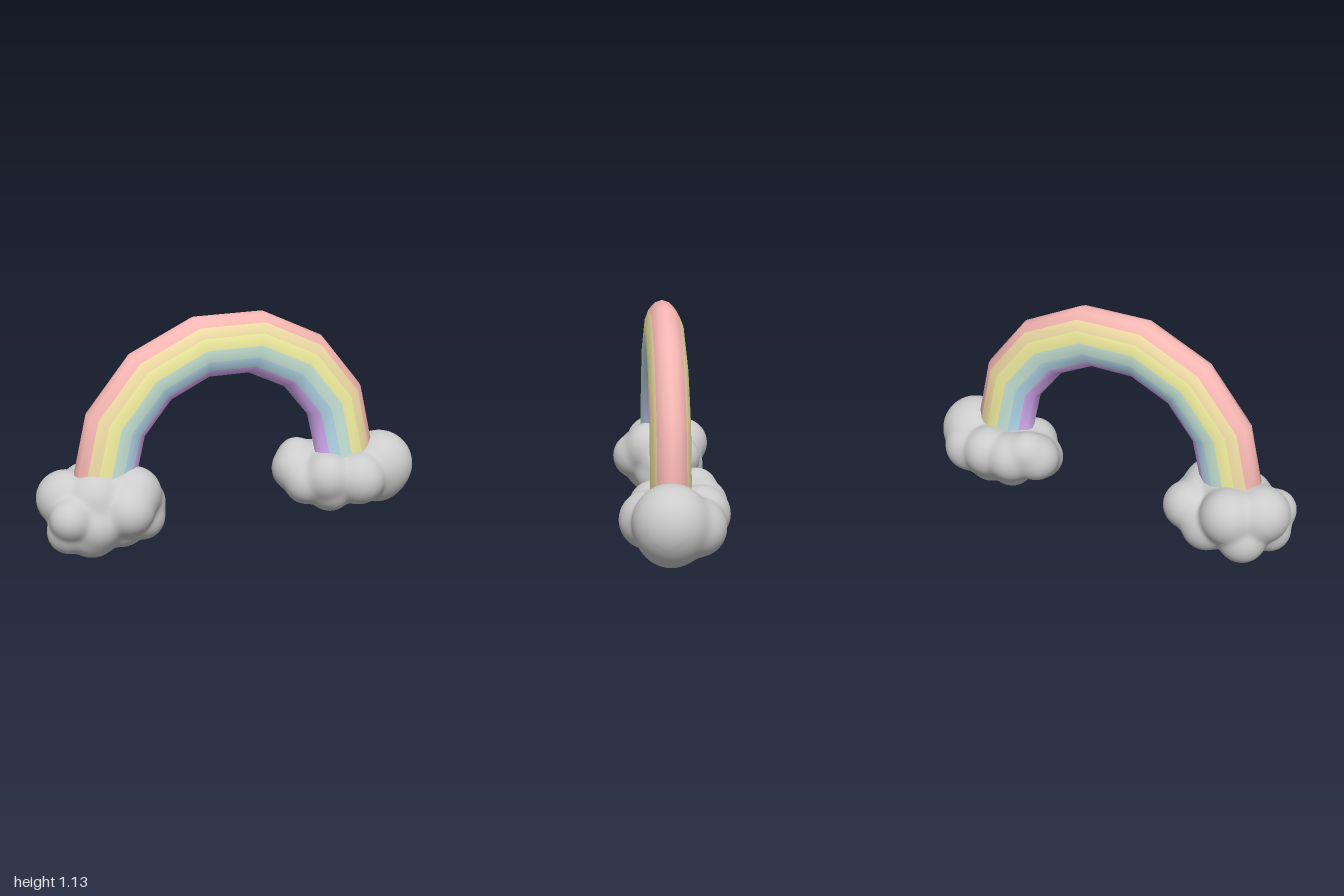
import * as THREE from 'three';
import { mergeVertices } from 'three/addons/utils/BufferGeometryUtils.js';

// Arch: half of a 14-sided ring with a 16-sided oval section
const CX = -0.032, CY = 0.364, CZ = 0.01;
const RING = 0.63, WIDEN = 1.03, OVAL_R = 0.157, OVAL_Z = 0.095;
const STEP = Math.PI / 8;

// Colour bands, from the outside of the arch inwards, in section steps
const BANDS = [
  ['redBand', 0xf8b8b4, 0, 2],
  ['orangeBand', 0xf4e0a8, 2, 3],
  ['yellowBand', 0xf8f4a4, 3, 4],
  ['greenBand', 0xcdeadb, 4, 5],
  ['blueBand', 0xb8dcf0, 5, 6],
  ['violetBand', 0xdcb0f8, 6, 8],
];

// Stations along the arch: the ring plus a short straight foot at each end
const stations = [{ a: 0, drop: 0.1 }];
for (let i = 0; i <= 7; i++) stations.push({ a: (i * Math.PI) / 7, drop: 0 });
stations.push({ a: Math.PI, drop: 0.1 });

// A band is one or two smooth strips running along the whole arch
function bandGeometry(ranges) {
  const pos = [], normal = [], index = [];
  for (const [from, to] of ranges) {
    const base = pos.length / 3, row = to - from + 1;
    stations.forEach(({ a, drop }, s) => {
      for (let k = from; k <= to; k++) {
        const c = Math.cos(k * STEP), d = Math.sin(k * STEP);
        const r = RING + OVAL_R * c;
        pos.push(CX + WIDEN * r * Math.cos(a), CY + r * Math.sin(a) - drop, CZ + OVAL_Z * d);
        const n = new THREE.Vector3(c * Math.cos(a) / OVAL_R, c * Math.sin(a) / OVAL_R, d / OVAL_Z);
        normal.push(...n.normalize().toArray());
        if (s === 0 || k === to) continue;
        const q = base + (s - 1) * row + k - from;
        index.push(q, q + row, q + 1, q + 1, q + row, q + row + 1);
      }
    });
  }
  const geo = new THREE.BufferGeometry();
  geo.setAttribute('position', new THREE.Float32BufferAttribute(pos, 3));
  geo.setAttribute('normal', new THREE.Float32BufferAttribute(normal, 3));
  geo.setIndex(index);
  return geo;
}

// Cloud puffs: x, y, z, radius
const RIGHT_CLOUD = [
  [-0.70, 0.22, 0.0, 0.18],
  [-0.865, 0.285, -0.04, 0.138],
  [-0.73, 0.28, -0.13, 0.136],
  [-0.74, 0.29, 0.04, 0.14],
  [-0.64, 0.30, 0.02, 0.125],
  [-0.55, 0.295, 0.06, 0.135],
  [-0.60, 0.24, 0.135, 0.123],
  [-0.495, 0.25, -0.09, 0.118],
  [-0.485, 0.23, 0.01, 0.108],
  [-0.495, 0.155, 0.03, 0.108],
  [-0.88, 0.23, 0.11, 0.10],
  [-0.875, 0.145, 0.05, 0.105],
  [-0.76, 0.13, 0.05, 0.127],
  [-0.75, 0.18, 0.10, 0.115],
  [-0.61, 0.15, 0.06, 0.112],
  [-0.61, 0.18, -0.11, 0.123],
  [-0.80, 0.165, -0.11, 0.118],
];
const LEFT_CLOUD = [
  [0.825, 0.256, 0.02, 0.174],
  [0.81, 0.20, 0.02, 0.147],
  [0.65, 0.22, 0.0, 0.15],
  [0.52, 0.24, 0.0, 0.135],
  [0.655, 0.225, 0.115, 0.134],
  [0.49, 0.245, 0.08, 0.12],
  [0.52, 0.165, 0.055, 0.113],
  [0.38, 0.255, -0.08, 0.118],
  [0.41, 0.305, -0.12, 0.098],
  [0.50, 0.25, -0.135, 0.125],
  [0.64, 0.245, -0.13, 0.13],
  [0.78, 0.22, -0.10, 0.13],
  [0.66, 0.165, -0.08, 0.118],
  [0.53, 0.165, -0.08, 0.11],
  [0.405, 0.205, 0.01, 0.113],
];

// Distance to the puffs, softly blended where they meet
const BLEND = 0.012;
function puffDistance(p, puffs) {
  let sum = 0;
  for (const [x, y, z, r] of puffs) {
    sum += Math.exp((r - Math.hypot(p.x - x, p.y - y, p.z - z)) / BLEND);
  }
  return -BLEND * Math.log(sum + 1e-30);
}

// One skin per cloud: a ball shrunk onto the puffs towards the centre
function cloud(name, centre, puffs, material) {
  const ball = new THREE.IcosahedronGeometry(1, 32);
  ball.deleteAttribute('normal');
  ball.deleteAttribute('uv');
  const geo = mergeVertices(ball);
  const pos = geo.attributes.position;
  const dir = new THREE.Vector3(), p = new THREE.Vector3();
  for (let i = 0; i < pos.count; i++) {
    dir.fromBufferAttribute(pos, i).multiply(new THREE.Vector3(0.36, 0.22, 0.26)).normalize();
    let t = 0.6;
    for (let n = 0; n < 60; n++) {
      const d = puffDistance(p.copy(centre).addScaledVector(dir, t), puffs);
      if (d < 0.0005) break;
      t -= d * 0.9;
    }
    pos.setXYZ(i, p.x, p.y, p.z);
  }
  geo.computeVertexNormals();
  const mesh = new THREE.Mesh(geo, material);
  mesh.name = name;
  return mesh;
}

export function createModel() {
  const model = new THREE.Group();
  model.name = 'rainbowWithClouds';

  // Rainbow, each band mirrored on front and back
  const rainbow = new THREE.Group();
  rainbow.name = 'rainbow';
  for (const [name, color, from, to] of BANDS) {
    let ranges = [[from, to], [-to, -from]];
    if (from === 0) ranges = [[-to, to]];
    if (to === 8) ranges = [[from, 16 - from]];
    const material = new THREE.MeshStandardMaterial({ color });
    const band = new THREE.Mesh(bandGeometry(ranges), material);
    band.name = name;
    rainbow.add(band);
  }
  model.add(rainbow);

  // Clouds at both feet
  const grey = new THREE.MeshStandardMaterial({ color: 0xcccccc });
  model.add(
    cloud('rightCloud', new THREE.Vector3(-0.69, 0.22, 0), RIGHT_CLOUD, grey),
    cloud('leftCloud', new THREE.Vector3(0.63, 0.23, -0.01), LEFT_CLOUD, grey),
  );
  return model;
}
